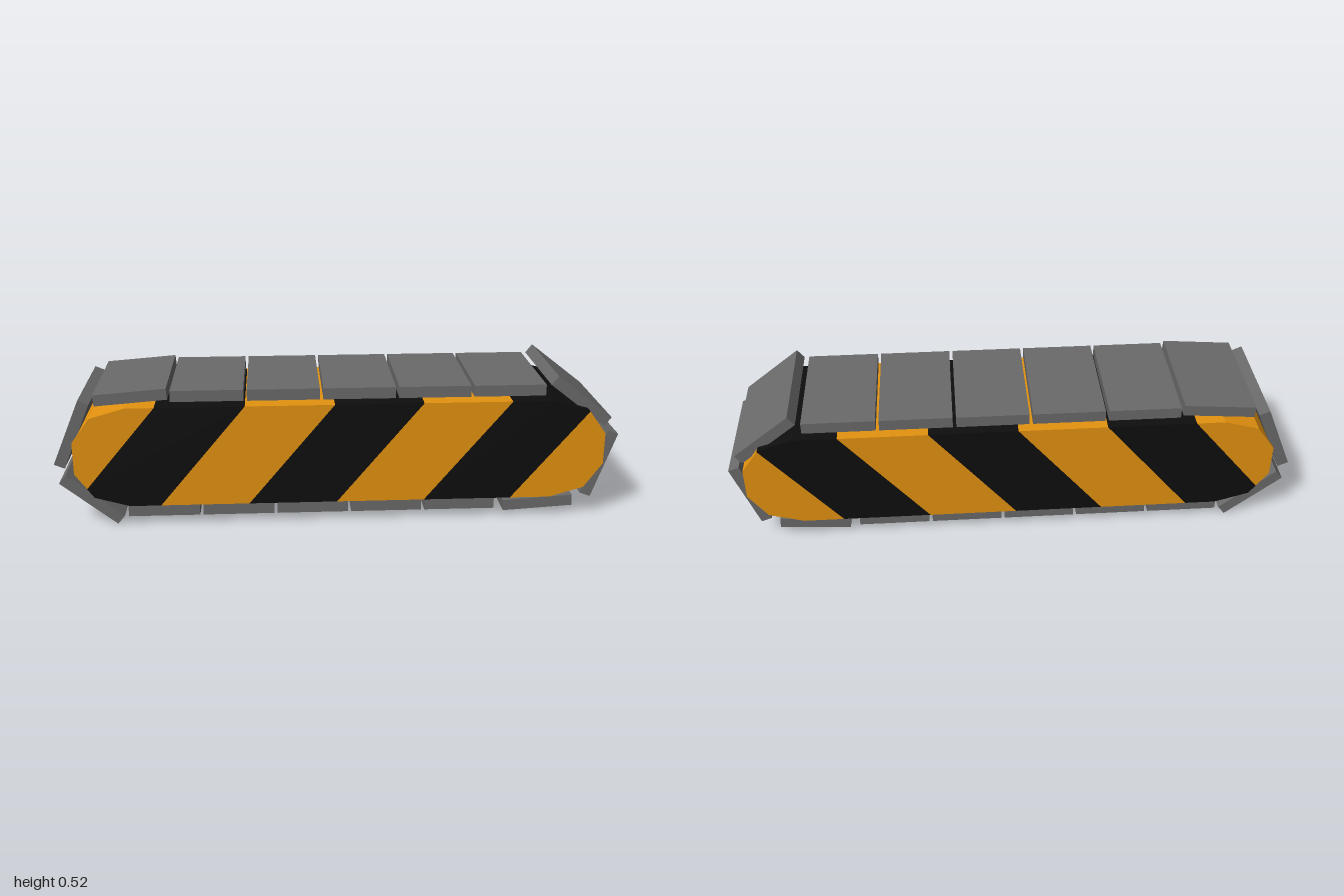
import * as THREE from 'three';

const material = (name, color) => {
  const m = new THREE.MeshStandardMaterial({ color });
  m.name = name;
  return m;
};

// Keep the part of a convex polygon where side(p) >= 0
function clip(points, side) {
  const out = [];
  points.forEach((a, i) => {
    const b = points[(i + 1) % points.length];
    const da = side(a), db = side(b);
    if (da >= 0) out.push(a);
    if (da * db < 0) out.push(a.clone().lerp(b, da / (da - db)));
  });
  return out;
}

export function createModel() {
  const group = new THREE.Group();
  group.name = 'trackUnit';
  const orange = material('hazard orange', 0xe4920f);
  const black = material('hazard black', 0x0e0e0e);
  const grey = material('slat grey', 0x6a6a6a);

  // Body outline: a long bar with faceted round ends
  const cx = 0.008, cy = 0.26;
  const corner = [[0.937, 0.057], [0.872, 0.147], [0.75, 0.182]];
  const quarter = (sx, sy) => corner.map(([x, y]) => new THREE.Vector2(cx + sx * x, cy + sy * y));
  const outline = [
    ...quarter(1, 1), ...quarter(-1, 1).reverse(),
    ...quarter(-1, -1), ...quarter(1, -1).reverse(),
  ];

  // Slanted stripes cut straight through the body
  const body = new THREE.Group();
  body.name = 'stripedBody';
  group.add(body);
  const slant = 0.305 / 0.364, pitch = 0.312, first = -0.945, depth = 0.462;
  const across = (p) => p.x - slant * (p.y - 0.078);
  for (let i = -1; i < 6; i++) {
    const start = first + i * pitch;
    let piece = clip(outline, (p) => across(p) - start);
    piece = clip(piece, (p) => start + pitch - across(p));
    if (piece.length < 3) continue;
    const geometry = new THREE.ExtrudeGeometry(new THREE.Shape(piece), { depth, bevelEnabled: false });
    geometry.translate(0, 0, -depth / 2);
    const dark = i % 2 === 0;
    const mesh = new THREE.Mesh(geometry, dark ? black : orange);
    mesh.name = dark ? 'blackStripe' : 'orangeStripe';
    body.add(mesh);
  }

  // Track slats around the body
  const slats = new THREE.Group();
  slats.name = 'trackSlats';
  group.add(slats);
  const slatGeometry = new THREE.BoxGeometry(0.253, 0.04, 0.422);
  const addSlat = (name, x, y, degrees = 0) => {
    const mesh = new THREE.Mesh(slatGeometry, grey);
    mesh.name = name;
    mesh.position.set(x, y, 0);
    mesh.rotation.z = THREE.MathUtils.degToRad(degrees);
    slats.add(mesh);
  };
  for (let i = 0; i < 5; i++) {
    addSlat('topSlat', -0.459 + i * 0.265, 0.476);
    addSlat('bottomSlat', -0.625 + i * 0.265, 0.05);
  }
  // Tilted slats wrapping the two ends
  addSlat('upperRightSlat', -0.722, 0.475, 4.5);
  addSlat('rightEndSlat', -0.932, 0.342, 67);
  addSlat('lowerRightSlat', -0.877, 0.097, -39);
  addSlat('lowerLeftSlat', 0.722, 0.047, 3.5);
  addSlat('leftEndSlat', 0.937, 0.194, 70.5);
  addSlat('upperLeftSlat', 0.857, 0.432, -38);

  return group;
}
